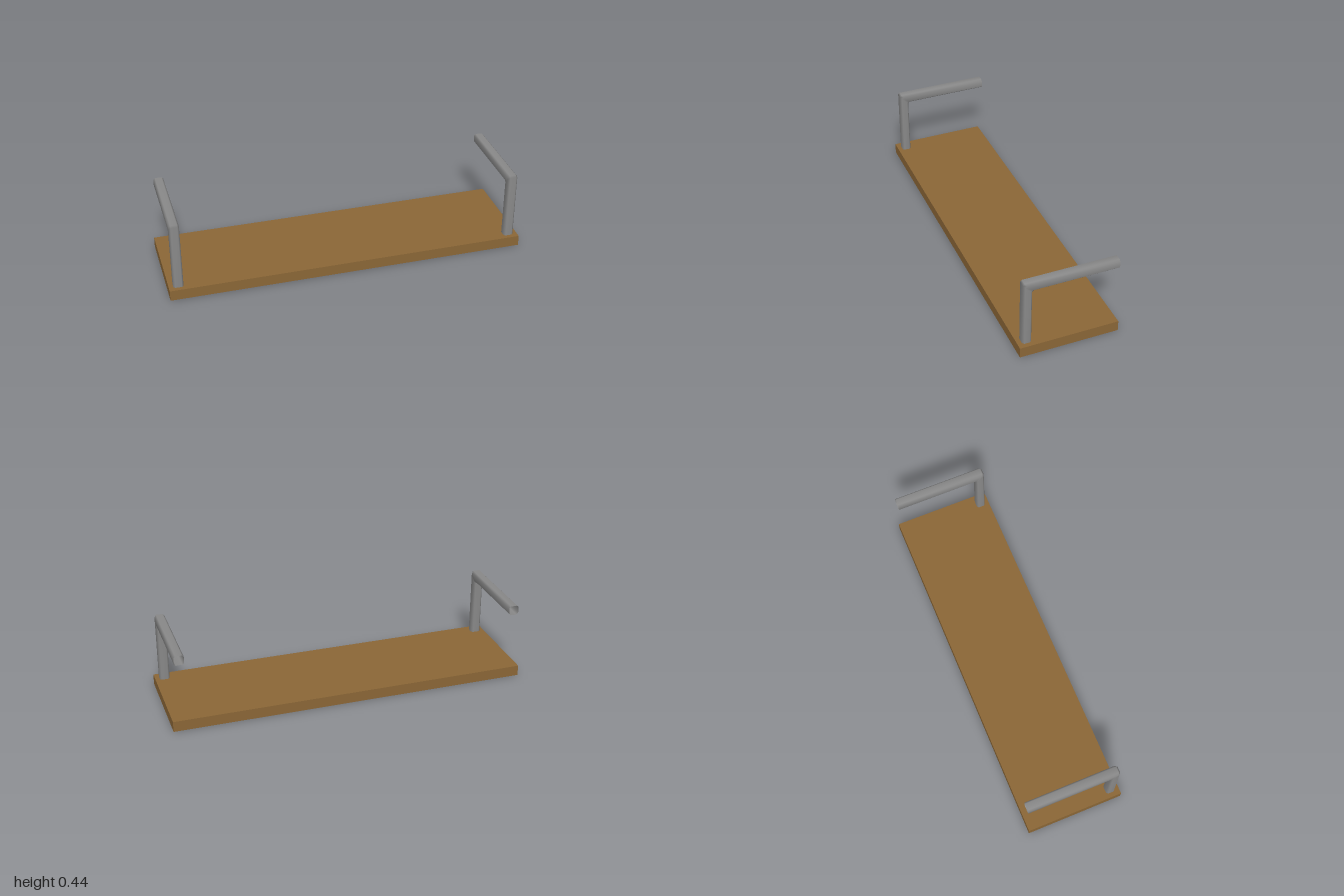
import * as THREE from 'three';

const wood = new THREE.MeshStandardMaterial({ color: 0x8a6636 });
wood.name = 'wood';
const steel = new THREE.MeshStandardMaterial({ color: 0x888888, side: THREE.DoubleSide });
steel.name = 'steel';

// Square section with bevelled corners: u runs across x, v from inner (-1) to outer (1)
const HALF_WIDTH = 0.0275;
const BEVEL = 0.65;
const section = [
  [1, -BEVEL], [1, BEVEL], [BEVEL, 1], [-BEVEL, 1],
  [-1, BEVEL], [-1, -BEVEL], [-BEVEL, -1], [BEVEL, -1],
];

// Each ring gives its outer and inner edge as [y, z]
const rings = [
  { outer: [0.06, 0.25], inner: [0.06, 0.2] },
  { outer: [0.436, 0.25], inner: [0.383, 0.2] },
  { outer: [0.445, 0.241], inner: [0.391, 0.191] },
  { outer: [0.445, -0.275], inner: [0.391, -0.275] },
];

// Open, bent tube lofted through the rings
function bentTube() {
  const positions = [];
  const indices = [];
  const n = section.length;
  for (const { outer, inner } of rings) {
    for (const [u, v] of section) {
      const t = (v + 1) / 2;
      positions.push(
        u * HALF_WIDTH,
        THREE.MathUtils.lerp(inner[0], outer[0], t),
        THREE.MathUtils.lerp(inner[1], outer[1], t),
      );
    }
  }
  for (let r = 0; r < rings.length - 1; r++) {
    for (let i = 0; i < n; i++) {
      const a = r * n + i;
      const b = r * n + (i + 1) % n;
      indices.push(a, a + n, b, b, a + n, b + n);
    }
  }
  const geometry = new THREE.BufferGeometry();
  geometry.setAttribute('position', new THREE.Float32BufferAttribute(positions, 3));
  geometry.setIndex(indices);
  geometry.computeVertexNormals();
  return geometry;
}

export function createModel() {
  const group = new THREE.Group();
  group.name = 'shelf';

  // Wooden board
  const board = new THREE.Mesh(new THREE.BoxGeometry(2, 0.06, 0.55), wood);
  board.name = 'board';
  board.position.y = 0.03;
  group.add(board);

  // Bent pipe bracket at each end
  const tube = bentTube();
  for (const [name, side] of [['leftBracket', 1], ['rightBracket', -1]]) {
    const bracket = new THREE.Mesh(tube, steel);
    bracket.name = name;
    bracket.position.x = side * 0.9475;
    group.add(bracket);
  }
  return group;
}
